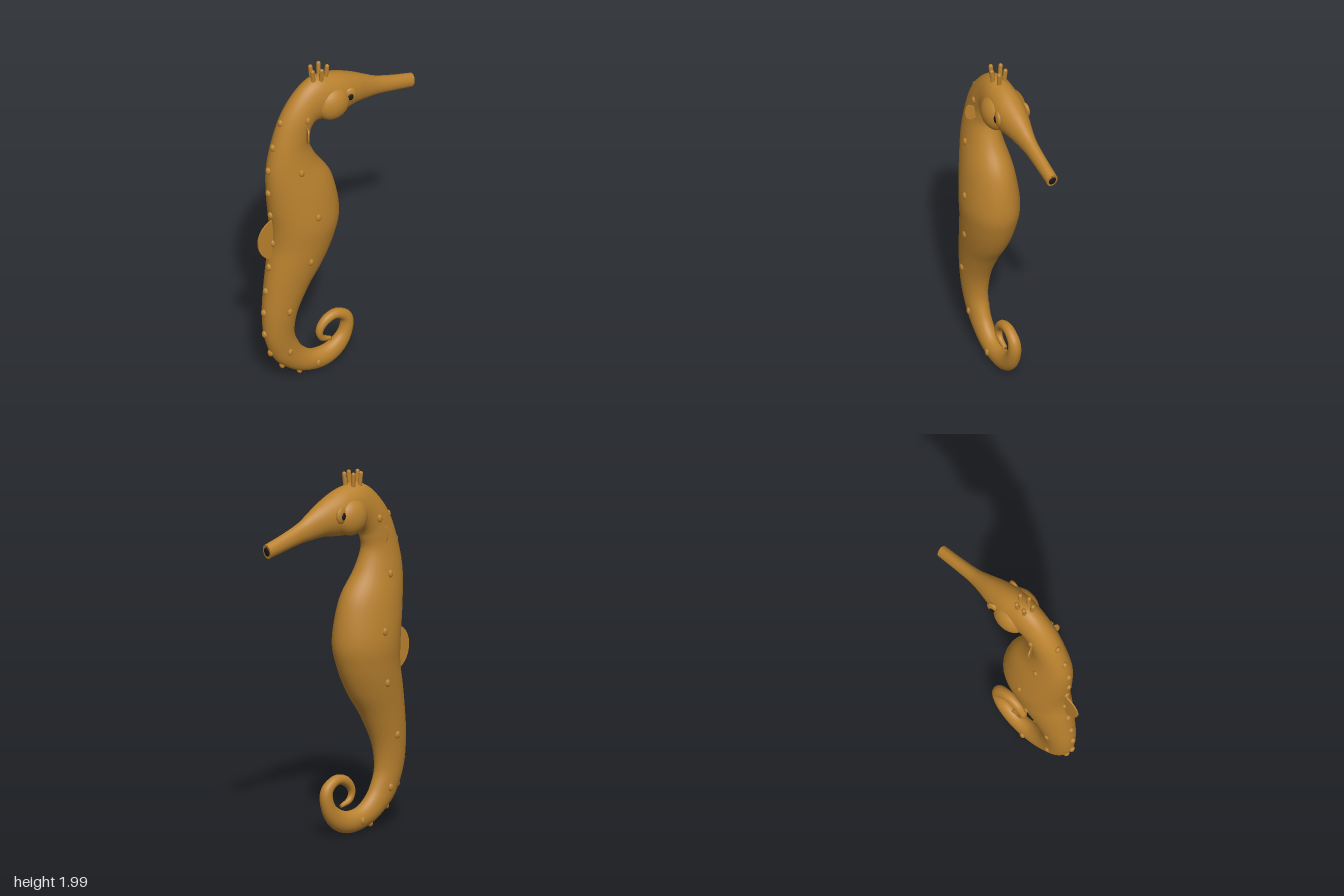
import * as THREE from 'three';

const skin = new THREE.MeshStandardMaterial({ color: 0xb9812e });
skin.name = 'golden brown';
const dark = new THREE.MeshStandardMaterial({ color: 0x1c1a18 });
dark.name = 'near black';

// Cross-sections: outer (z, y), inner (z, y), half width
const headStations = [
  [-0.5, 1.69, -0.485, 1.61, 0.032], [-0.38, 1.727, -0.37, 1.635, 0.034],
  [-0.27, 1.768, -0.26, 1.657, 0.038], [-0.2, 1.808, -0.18, 1.665, 0.05],
  [-0.12, 1.855, -0.1, 1.67, 0.07], [-0.02, 1.902, -0.02, 1.66, 0.088],
  [0.06, 1.925, 0.06, 1.655, 0.09], [0.14, 1.932, 0.11, 1.657, 0.085],
  [0.22, 1.895, 0.15, 1.66, 0.08], [0.3, 1.815, 0.17, 1.645, 0.08],
];
const trunkStations = [
  [0.365, 1.71, 0.18, 1.615, 0.08], [0.418, 1.55, 0.187, 1.55, 0.085],
  [0.442, 1.4, 0.14, 1.44, 0.102], [0.432, 1.21, 0.045, 1.29, 0.132],
  [0.413, 1.05, 0.002, 1.07, 0.151], [0.413, 0.92, 0.03, 0.92, 0.14],
  [0.435, 0.8, 0.095, 0.77, 0.122], [0.455, 0.655, 0.185, 0.63, 0.1],
  [0.468, 0.495, 0.26, 0.47, 0.08], [0.457, 0.335, 0.278, 0.335, 0.065],
  [0.41, 0.2, 0.247, 0.24, 0.056], [0.35, 0.122, 0.205, 0.18, 0.052],
];
const tailStations = [
  [0.245, 0.045, 0.15, 0.14, 0.05], [0.11, 0.008, 0.085, 0.13, 0.047],
  [0, 0.032, 0.03, 0.145, 0.043], [-0.075, 0.105, -0.017, 0.18, 0.039],
  [-0.11, 0.21, -0.036, 0.22, 0.036], [-0.097, 0.283, -0.036, 0.255, 0.033],
  [-0.047, 0.327, -0.01, 0.28, 0.03], [0.01, 0.342, 0.02, 0.286, 0.028],
  [0.075, 0.322, 0.056, 0.27, 0.026], [0.117, 0.272, 0.08, 0.247, 0.023],
  [0.123, 0.22, 0.086, 0.22, 0.02], [0.095, 0.172, 0.07, 0.197, 0.017],
  [0.03, 0.155, 0.032, 0.177, 0.012],
];
const stations = [...headStations, ...trunkStations, ...tailStations];
const last = stations.length - 1;
const spline = (pick) => new THREE.CatmullRomCurve3(stations.map(pick), false, 'catmullrom', 0.5);
const outerCurve = spline((s) => new THREE.Vector3(0, s[1], s[0]));
const innerCurve = spline((s) => new THREE.Vector3(0, s[3], s[2]));
const widthCurve = spline((s, i) => new THREE.Vector3(s[4], i, 0));

// Point on the skin: u runs along the body, angle 0 is the spine, PI/2 the +x flank
function skinPoint(u, angle, scale = 1) {
  const t = u / last;
  const a = outerCurve.getPoint(t);
  const b = innerCurve.getPoint(t);
  const p = a.clone().add(b).multiplyScalar(0.5);
  p.addScaledVector(a.sub(b), 0.5 * scale * Math.cos(angle));
  p.x = widthCurve.getPoint(t).x * scale * Math.sin(angle);
  return p;
}

// Body position where the skin line at this angle passes a given height
function findU(y, angle) {
  let best = 8.5;
  let gap = Infinity;
  for (let u = 8.5; u <= 23; u += 0.02) {
    const d = Math.abs(skinPoint(u, angle).y - y);
    if (d < gap) { gap = d; best = u; }
  }
  return best;
}

function bodyGeometry() {
  const sides = 32;
  const steps = last * 6;
  const rings = [[0, 0], [0, 1]];
  for (let i = 0; i <= steps; i++) rings.push([(i / steps) * last, 1]);
  rings.push([last, 0]);
  const positions = [];
  const index = [];
  rings.forEach(([u, scale], i) => {
    for (let j = 0; j < sides; j++) {
      positions.push(...skinPoint(u, (j / sides) * Math.PI * 2, scale).toArray());
      if (i === rings.length - 1) continue;
      const a = i * sides + j;
      const b = i * sides + ((j + 1) % sides);
      index.push(a, a + sides, b, b, a + sides, b + sides);
    }
  });
  const geometry = new THREE.BufferGeometry();
  geometry.setAttribute('position', new THREE.Float32BufferAttribute(positions, 3));
  geometry.setIndex(index);
  geometry.computeVertexNormals();
  return geometry;
}

export function createModel() {
  const model = new THREE.Group();
  model.name = 'seahorse';
  const add = (name, geometry, material = skin, parent = model) => {
    const mesh = new THREE.Mesh(geometry, material);
    mesh.name = name;
    parent.add(mesh);
    return mesh;
  };
  const ball = new THREE.SphereGeometry(1, 24, 16);
  const bumpBall = new THREE.SphereGeometry(1, 12, 8);

  add('body', bodyGeometry());

  // Mouth opening on the snout tip
  const mouth = add('mouth', new THREE.SphereGeometry(1, 20, 12), dark);
  mouth.position.set(0, 1.65, -0.493);
  mouth.scale.set(0.021, 0.026, 0.006);
  mouth.rotation.x = -0.19;

  // Bony knobs along the spine
  for (const y of [1.72, 1.58, 1.44, 1.29, 1.14, 0.95, 0.8, 0.65, 0.51, 0.37, 0.23, 0.12, 0.04]) {
    const knob = add('spineKnob', bumpBall);
    knob.position.copy(skinPoint(findU(y, 0), 0));
    knob.scale.set(0.018, 0.022, 0.015);
  }

  // Crown of small horns
  const horn = new THREE.CapsuleGeometry(0.012, 0.07, 4, 12);
  for (const [x, z] of [[-0.03, 0.09], [0.015, 0.07], [0.032, 0.115], [0.015, 0.158], [-0.03, 0.14]]) {
    const mesh = add('crownHorn', horn);
    mesh.position.set(x, 1.95, z);
    mesh.rotation.set((z - 0.115) * 2, 0, -x * 3);
  }

  // Dorsal fin
  const dorsal = new THREE.Shape();
  dorsal.moveTo(0.38, 1.1);
  dorsal.lineTo(0.415, 1.105);
  dorsal.bezierCurveTo(0.46, 1.095, 0.507, 1.05, 0.507, 0.985);
  dorsal.bezierCurveTo(0.507, 0.92, 0.47, 0.865, 0.415, 0.85);
  dorsal.lineTo(0.38, 0.86);
  const dorsalGeometry = new THREE.ExtrudeGeometry(dorsal, { depth: 0.008, bevelEnabled: false, curveSegments: 16 });
  dorsalGeometry.rotateY(-Math.PI / 2).translate(0.004, 0, 0);
  add('dorsalFin', dorsalGeometry);

  // Pectoral fin outline
  const pectoral = new THREE.Shape();
  pectoral.moveTo(-0.02, -0.03);
  pectoral.lineTo(0.01, -0.045);
  pectoral.quadraticCurveTo(0.042, -0.05, 0.046, -0.015);
  pectoral.quadraticCurveTo(0.052, 0.045, 0.025, 0.045);
  pectoral.lineTo(-0.02, 0.035);
  const pectoralGeometry = new THREE.ExtrudeGeometry(pectoral, { depth: 0.008, bevelEnabled: false, curveSegments: 10 });

  // Paired parts on each side
  for (const side of [1, -1]) {
    const half = new THREE.Group();
    half.name = side > 0 ? 'leftSide' : 'rightSide';
    half.scale.x = side;
    model.add(half);

    const cheek = add('cheek', ball, skin, half);
    cheek.position.set(0.05, 1.763, 0.055);
    cheek.scale.set(0.071, 0.102, 0.102);

    const eyelid = add('eyelid', ball, skin, half);
    eyelid.position.set(0.082, 1.79, -0.038);
    eyelid.scale.set(0.017, 0.046, 0.038);
    eyelid.rotation.y = -0.2;

    const eye = add('eye', ball, dark, half);
    eye.position.set(0.089, 1.787, -0.034);
    eye.scale.set(0.014, 0.025, 0.02);
    eye.rotation.y = -0.2;

    const fin = add('pectoralFin', pectoralGeometry, skin, half);
    fin.position.set(0.078, 1.645, 0.235);
    fin.rotation.y = -0.42;

    for (const y of [1.73, 1.42, 1.12, 0.83, 0.52, 0.23, 0.075]) {
      const knob = add('flankKnob', bumpBall, skin, half);
      knob.position.copy(skinPoint(findU(y, Math.PI / 2), Math.PI / 2));
      knob.scale.set(0.011, 0.022, 0.016);
    }
  }
  return model;
}
